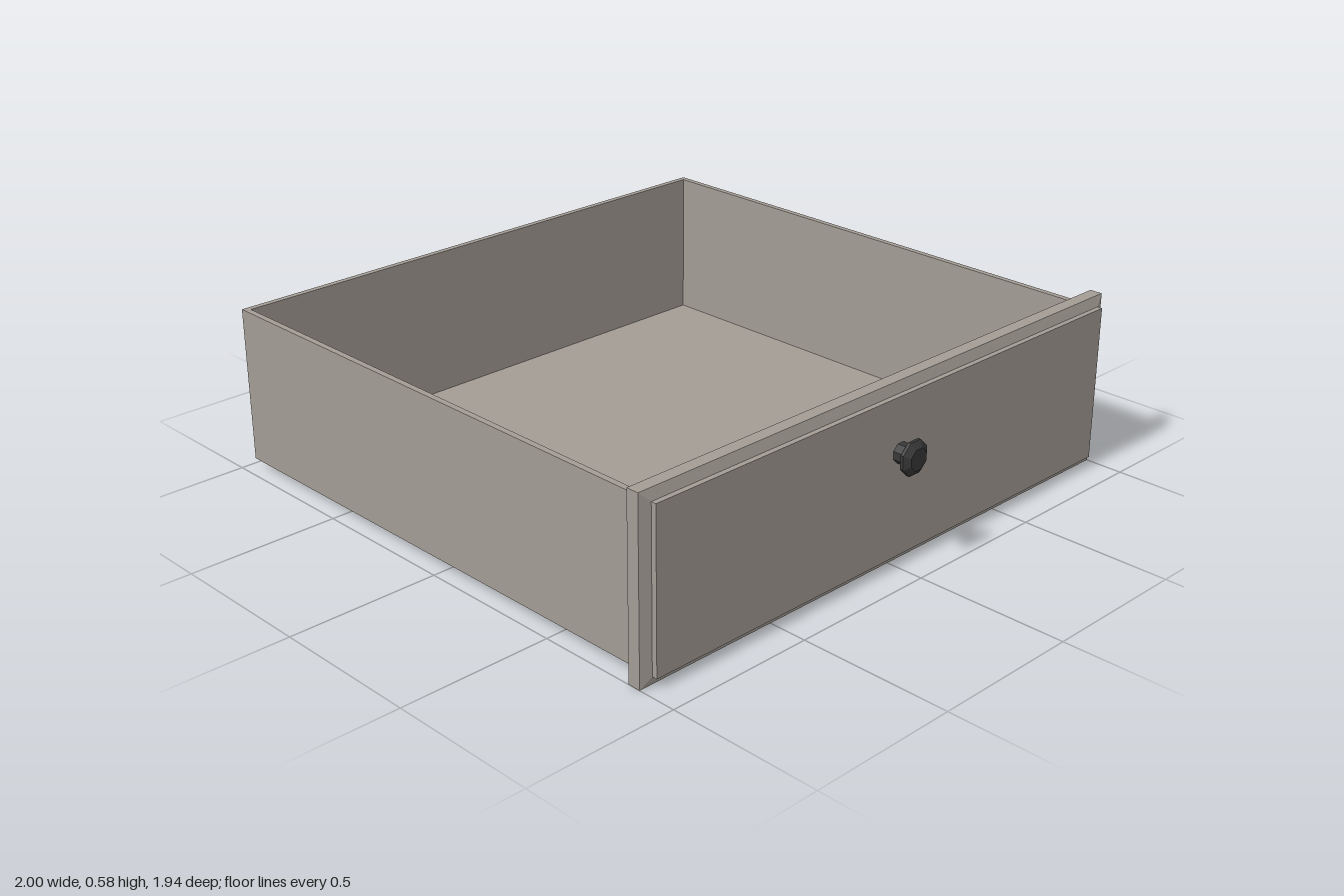
import * as THREE from 'three';

const wood = new THREE.MeshStandardMaterial({ color: 0xa39c95 });
wood.name = 'greyWood';
const metal = new THREE.MeshStandardMaterial({ color: 0x383838 });
metal.name = 'darkMetal';

const W = 0.965, MID = 0.29, H = 0.515, BOTTOM = MID - H / 2;
const BACK = -0.97, FRONT = 0.83;

function add(group, name, geometry, material, x = 0, y = 0, z = 0) {
  const mesh = new THREE.Mesh(geometry, material);
  mesh.name = name;
  mesh.position.set(x, y, z);
  group.add(mesh);
  return mesh;
}

// Rectangle outline in plan, where shape y becomes -z
function rect(path, x, z0, z1) {
  path.moveTo(-x, -z1);
  path.lineTo(x, -z1);
  path.lineTo(x, -z0);
  path.lineTo(-x, -z0);
  path.closePath();
  return path;
}

export function createModel() {
  const drawer = new THREE.Group();
  drawer.name = 'drawer';

  // Four thin walls as one open frame
  const plan = rect(new THREE.Shape(), W, BACK, FRONT);
  plan.holes.push(rect(new THREE.Path(), 0.945, BACK + 0.02, 0.805));
  const walls = new THREE.ExtrudeGeometry(plan, { depth: H, bevelEnabled: false });
  walls.rotateX(-Math.PI / 2);
  add(drawer, 'walls', walls, wood, 0, BOTTOM, 0);

  // Floor, fitted between the walls
  add(drawer, 'floor', new THREE.BoxGeometry(1.89, 0.015, 1.755), wood, 0, BOTTOM + 0.0075, -0.0725);

  // Front board, its chamfered edge and the raised panel
  add(drawer, 'frontBoard', new THREE.BoxGeometry(2, 0.58, 0.042), wood, 0, MID, 0.851);
  const chamfer = new THREE.BoxGeometry(2, 0.58, 0.012);
  const p = chamfer.attributes.position;
  for (let i = 0; i < p.count; i++) {
    if (p.getZ(i) > 0) p.setXY(i, Math.sign(p.getX(i)) * W, Math.sign(p.getY(i)) * H / 2);
  }
  const bevel = chamfer.toNonIndexed();
  bevel.computeVertexNormals();
  add(drawer, 'frontChamfer', bevel, wood, 0, MID, 0.878);
  add(drawer, 'frontPanel', new THREE.BoxGeometry(2 * W, H, 0.018), wood, 0, MID, 0.892);

  // Faceted octagonal knob
  const profile = [[0.033, 0], [0.033, 0.034], [0.046, 0.037], [0.057, 0.045],
    [0.057, 0.055], [0.036, 0.07], [0, 0.07]].map(([r, z]) => new THREE.Vector2(r, z));
  const knob = new THREE.LatheGeometry(profile, 8, Math.PI / 8).toNonIndexed();
  knob.rotateX(Math.PI / 2);
  knob.computeVertexNormals();
  add(drawer, 'knob', knob, metal, 0, 0.37, 0.9);

  return drawer;
}
